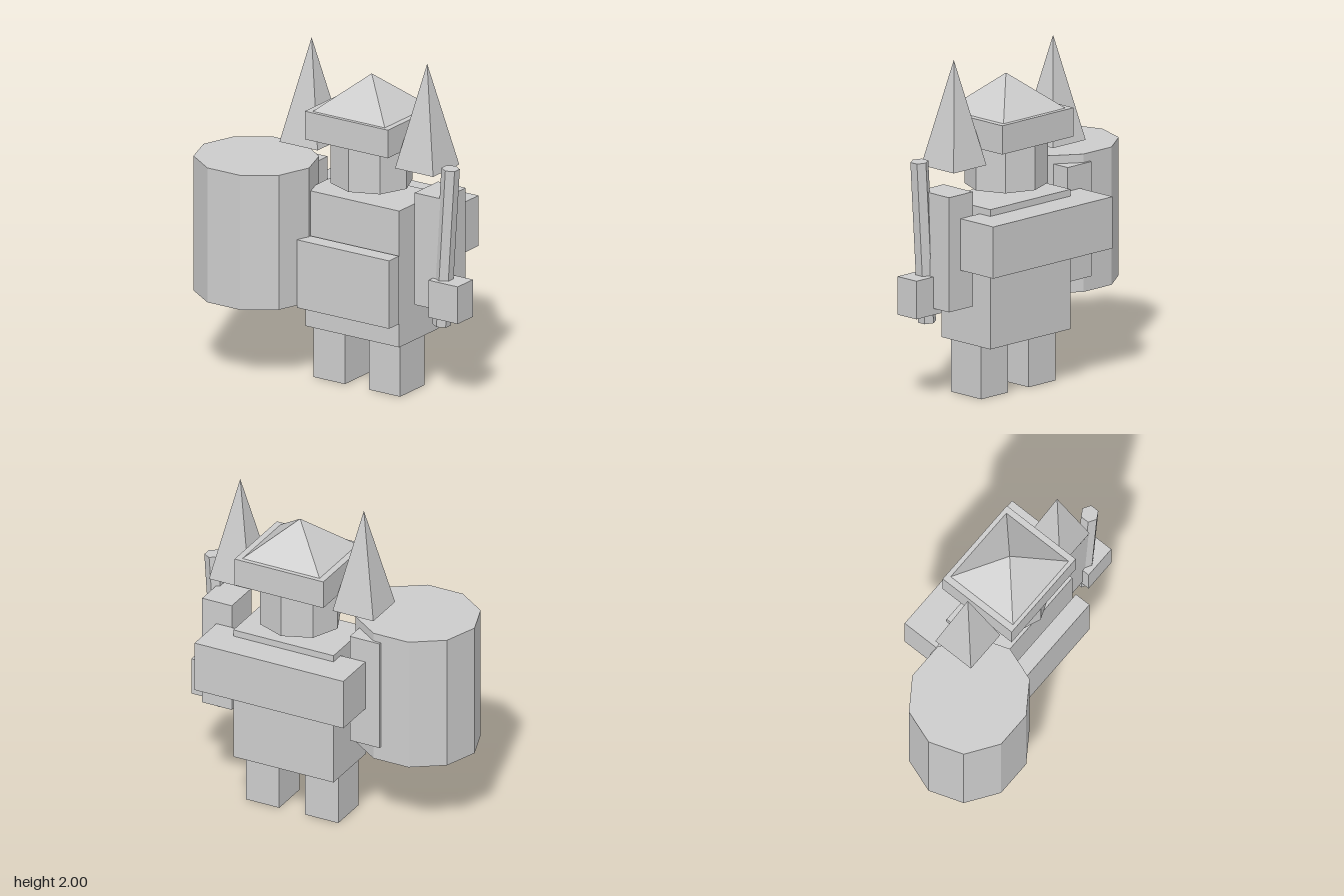
import * as THREE from 'three';

export function createModel() {
  const group = new THREE.Group();
  group.name = 'armouredFigure';
  const stone = new THREE.MeshStandardMaterial({ color: 0xcccccc, flatShading: true });
  stone.name = 'plain grey';

  const add = (name, geometry) => {
    const mesh = new THREE.Mesh(geometry, stone);
    mesh.name = name;
    group.add(mesh);
    return mesh;
  };

  // Stretches a unit-sized geometry to fill the given x, y and z ranges
  const fit = (name, geometry, [x0, x1], [y0, y1], [z0, z1]) => {
    geometry.scale(x1 - x0, y1 - y0, z1 - z0);
    const mesh = add(name, geometry);
    mesh.position.set((x0 + x1) / 2, (y0 + y1) / 2, (z0 + z1) / 2);
    return mesh;
  };
  const box = (name, x, y, z) => fit(name, new THREE.BoxGeometry(1, 1, 1), x, y, z);
  const pyramid = (name, x, y, z) =>
    fit(name, new THREE.ConeGeometry(Math.SQRT1_2, 1, 4, 1, false, Math.PI / 4), x, y, z);

  // Body
  box('torso', [-0.176, 0.474], [0.318, 1.143], [-0.289, 0.105]);
  box('bellyPlate', [-0.155, 0.485], [0.467, 0.878], [0.123, 0.223]);
  box('backPack', [-0.336, 0.629], [0.798, 1.103], [-0.468, -0.204]);

  // Paired parts, mirrored about the body's middle
  const middle = 0.147;
  for (const [side, s] of [['left', 1], ['right', -1]]) {
    const span = (a, b) => [middle + s * a, middle + s * b].sort((p, q) => p - q);
    box(side + 'Leg', span(0.083, 0.3), [0, 0.318], [-0.189, 0.057]);
    box(side + 'Arm', span(0.383, 0.575), [0.567, 1.244], [-0.204, 0.032]);
    pyramid(side + 'ShoulderSpike', span(0.269, 0.533), [1.379, 2], [-0.2, 0.063]);
  }

  // Head and hat
  const head = new THREE.CylinderGeometry(0.5, 0.5, 1, 8);
  fit('head', head, [-0.096, 0.39], [1.204, 1.472], [-0.323, 0.141]);
  box('hatBrim', [-0.141, 0.435], [1.472, 1.642], [-0.347, 0.163]);
  pyramid('hatTop', [-0.102, 0.398], [1.642, 1.855], [-0.32, 0.14]);

  // Ten-sided drum at the right side
  const drum = new THREE.CylinderGeometry(0.5, 0.5, 1, 10, 1, false, Math.PI / 2);
  fit('drum', drum, [-0.86, -0.128], [0.48, 1.294], [-0.205, 0.485]);

  // Left hand holding a tilted rod
  box('hand', [0.656, 0.86], [0.528, 0.753], [-0.078, 0.076]);
  const rod = add('rod', new THREE.CylinderGeometry(0.053, 0.053, 0.959, 6));
  rod.position.set(0.727, 0.949, 0);
  rod.rotation.z = -0.0645;

  return group;
}
